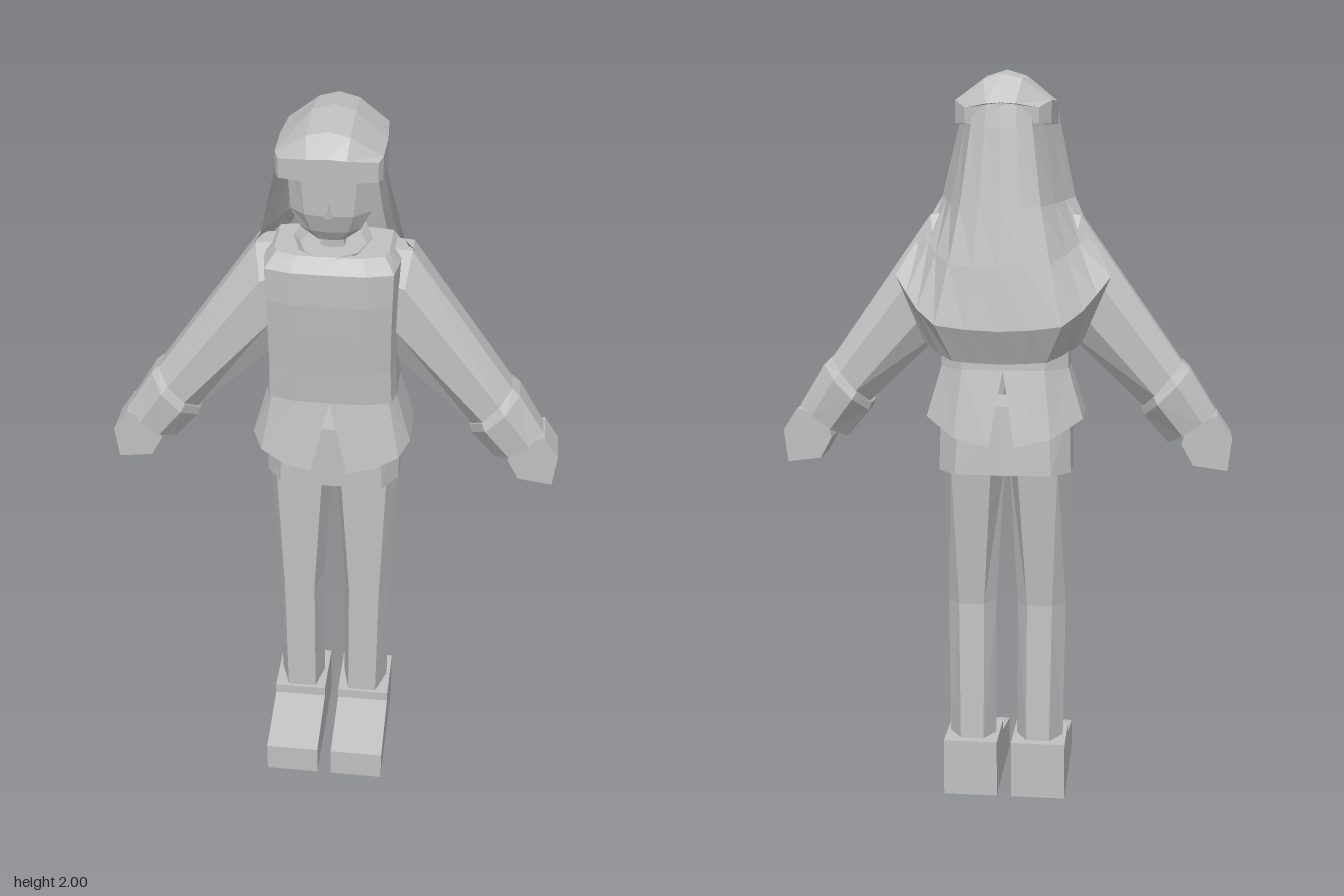
import * as THREE from 'three';

const grey = new THREE.MeshStandardMaterial({ color: 0xc0c0c0, side: THREE.DoubleSide, flatShading: true });
grey.name = 'plain grey';

// Joins cross-sections (arrays of [x, y, z]) into a faceted skin, facing outwards
function loft(rings, { closed = true, caps = true } = {}) {
  const n = rings[0].length, pts = rings.flat(), tris = [];
  for (let r = 0; r < rings.length - 1; r++) {
    for (let i = 0; i < (closed ? n : n - 1); i++) {
      const j = (i + 1) % n, a = r * n, b = a + n;
      tris.push([a + i, a + j, b + j], [a + i, b + j, b + i]);
    }
  }
  if (caps) {
    const last = (rings.length - 1) * n;
    for (let i = 1; i < n - 1; i++) tris.push([0, i + 1, i], [last, last + i, last + i + 1]);
  }
  const v = pts.map((p) => new THREE.Vector3(...p));
  const mid = v.reduce((s, p) => s.add(p), new THREE.Vector3()).divideScalar(v.length);
  let volume = 0;
  for (const [a, b, c] of tris) {
    const [A, B, C] = [a, b, c].map((k) => v[k].clone().sub(mid));
    volume += A.dot(B.cross(C));
  }
  if (volume < 0) tris.forEach((t) => t.reverse());
  const g = new THREE.BufferGeometry();
  g.setAttribute('position', new THREE.Float32BufferAttribute(pts.flat(), 3));
  g.setIndex(tris.flat());
  const flat = g.toNonIndexed();
  flat.computeVertexNormals();
  return flat;
}

// Completes a half section that runs from the centre front (x = 0) to the centre back
const both = (half) => [...half, ...half.slice(1, -1).reverse().map(([x, y, z]) => [-x, y, z])];
const level = (y, half) => both(half.map(([x, z]) => [x, y, z]));

export function createModel() {
  const model = new THREE.Group();
  model.name = 'figure';
  const add = (name, geometry) => {
    const m = new THREE.Mesh(geometry, grey);
    m.name = name;
    model.add(m);
    return m;
  };

  for (const [side, s] of [['left', 1], ['right', -1]]) {
    // Wedge shoe
    const sole = [[-0.1, 0], [0.26, 0], [0.26, 0.09], [0.07, 0.13], [0.07, 0.16], [-0.1, 0.16]];
    add(side + 'Shoe', loft([0.02, 0.17].map((x) => sole.map(([z, y]) => [s * x, y, z]))));

    // Six-sided trouser leg: y, inner x, outer x, front z, side z, back z
    const leg = [
      [0.15, 0.03, 0.16, 0.06, -0.02, -0.075],
      [0.55, 0.03, 0.165, 0.06, -0.01, -0.055],
      [0.96, 0.005, 0.18, 0.065, 0, -0.095],
    ];
    add(side + 'Leg', loft(leg.map(([y, a, b, f, m, k]) => [
      [a + 0.02, y, f], [b - 0.028, y, f], [b, y, m], [b - 0.035, y, k], [a + 0.03, y, k], [a, y, m],
    ].map(([x, yy, z]) => [s * x, yy, z]))));

    // Eight-sided section between an upper and a lower edge point
    const sleeve = (tx, ty, bx, by, front, back) => Array.from({ length: 8 }, (_, i) => {
      const a = (i + 0.5) * Math.PI / 4, k = 0.5 + 0.5 * Math.cos(a) / 0.924;
      const z = (front + back) / 2 + (front - back) / 2 * Math.sin(a) / 0.924;
      return [s * (bx + (tx - bx) * k), by + (ty - by) * k, z];
    });
    add(side + 'Sleeve', loft([
      sleeve(0.1, 1.635, 0.08, 1.4, 0.045, -0.09),
      sleeve(0.2, 1.625, 0.15, 1.33, 0.055, -0.1),
      sleeve(0.475, 1.235, 0.378, 1.115, 0.055, -0.1),
    ]));
    add(side + 'Cuff', loft([
      sleeve(0.475, 1.24, 0.368, 1.115, 0.055, -0.1),
      sleeve(0.495, 1.22, 0.375, 1.095, 0.066, -0.11),
      sleeve(0.566, 1.106, 0.44, 1.02, 0.052, -0.09),
    ]));

    // Mitten hand
    const hand = [[0.57, 1.1], [0.61, 1.04], [0.6, 0.95], [0.508, 0.962], [0.476, 1.02], [0.49, 1.07]];
    add(side + 'Hand', loft([0.03, -0.075].map((z) => hand.map(([x, y]) => [s * x, y, z]))));

    // Flared coat tail, split at the front and back
    const tail = [
      [[0, 1.22, 0.11], [0.09, 1.22, 0.108], [0.155, 1.22, 0.09], [0.172, 1.22, 0.045],
        [0.172, 1.22, -0.07], [0.11, 1.22, -0.118], [0, 1.22, -0.125]],
      [[0.048, 1.02, 0.14], [0.12, 1.035, 0.135], [0.185, 1.06, 0.11], [0.212, 1.085, 0.06],
        [0.212, 1.085, -0.08], [0.13, 1.04, -0.15], [0.035, 1.02, -0.165]],
    ];
    add(side + 'CoatTail', loft(tail.map((r) => r.map(([x, y, z]) => [s * x, y, z])), { closed: false, caps: false }));
  }

  // Hips joining the legs
  add('hips', loft([
    level(0.935, [[0, 0.085], [0.14, 0.08], [0.182, 0.02], [0.18, -0.07], [0.13, -0.125], [0, -0.13]]),
    level(1.12, [[0, 0.085], [0.13, 0.08], [0.178, 0.02], [0.175, -0.06], [0.12, -0.11], [0, -0.115]]),
  ]));

  // Coat body: y, half width, front z, back z
  const coat = [[1.22, 0.172, 0.11, -0.125], [1.32, 0.168, 0.118, -0.12], [1.42, 0.168, 0.128, -0.118],
    [1.52, 0.17, 0.136, -0.115], [1.61, 0.172, 0.136, -0.11], [1.642, 0.145, 0.1, -0.085]];
  add('coatBody', loft(coat.map(([y, w, f, b]) => level(y, [
    [0, f], [w * 0.55, f - 0.002], [w * 0.94, f - 0.02], [w, 0.045], [w, -0.07], [w * 0.65, b + 0.007], [0, b],
  ]))));

  // Standing collar and neck
  add('collar', loft([
    level(1.625, [[0, 0.07], [0.05, 0.06], [0.07, 0.01], [0.05, -0.04], [0, -0.05]]),
    both([[0, 1.635, 0.11], [0.075, 1.662, 0.105], [0.1, 1.66, 0.02], [0.075, 1.665, -0.06], [0, 1.665, -0.07]]),
  ], { caps: false }));
  add('neck', loft([1.6, 1.72].map((y) => level(y, [[0, 0.045], [0.03, 0.035], [0.03, -0.02], [0, -0.03]]))));

  // Shallow face with a pointed nose
  add('face', loft([
    level(1.88, [[0, 0.12], [0.07, 0.112], [0.105, 0.075], [0, 0.07]]),
    level(1.76, [[0, 0.118], [0.06, 0.11], [0.1, 0.073], [0, 0.07]]),
    level(1.71, [[0, 0.1], [0.045, 0.094], [0.075, 0.072], [0, 0.07]]),
    level(1.68, [[0, 0.08], [0.025, 0.078], [0.035, 0.07], [0, 0.068]]),
  ]));
  add('nose', loft([
    [[0, 1.8, 0.118], [0.001, 1.8, 0.118], [0, 1.8, 0.112]],
    [[-0.012, 1.755, 0.114], [0.012, 1.755, 0.114], [0, 1.76, 0.134]],
  ]));

  // Crown of the hair with a straight fringe: z, corner z, half width, shoulder y, ridge y
  const crown = [[0.155, 0.125, 0.12, 1.91, 1.925], [0.122, 0.105, 0.13, 1.918, 1.98], [0, 0, 0.132, 1.92, 2],
    [-0.12, -0.105, 0.125, 1.92, 1.985], [-0.167, -0.145, 0.095, 1.9, 1.912]];
  add('hairCrown', loft(crown.map(([z, c, w, y, top]) => both([
    [0, top, z], [w * 0.4, y + (top - y) * 0.8, z], [w, y, c], [w, 1.86, c], [0, 1.86, z],
  ]))));

  // Long hair falling from the crown: side x, y, z, then back y, z
  const fall = [[0.13, 1.92, 0.07, 1.915, -0.165], [0.137, 1.86, 0.065, 1.85, -0.178],
    [0.18, 1.67, 0.035, 1.65, -0.21], [0.225, 1.58, -0.04, 1.5, -0.235], [0.283, 1.47, -0.125, 1.34, -0.257],
    [0.21, 1.3, -0.13, 1.25, -0.215], [0.19, 1.28, -0.12, 1.25, -0.135]];
  const curve = [[1, 0], [0.88, 0.32], [0.76, 0.62], [0.58, 0.9], [0.3, 0.97], [0, 1]];
  add('longHair', loft(fall.map(([x, y, z, yb, zb]) => {
    const half = curve.map(([u, v]) => [x * u, y + (yb - y) * v, z + (zb - z) * v]);
    return [...half, ...half.slice(0, -1).reverse().map(([a, b, c]) => [-a, b, c])];
  }), { closed: false, caps: false }));

  return model;
}
